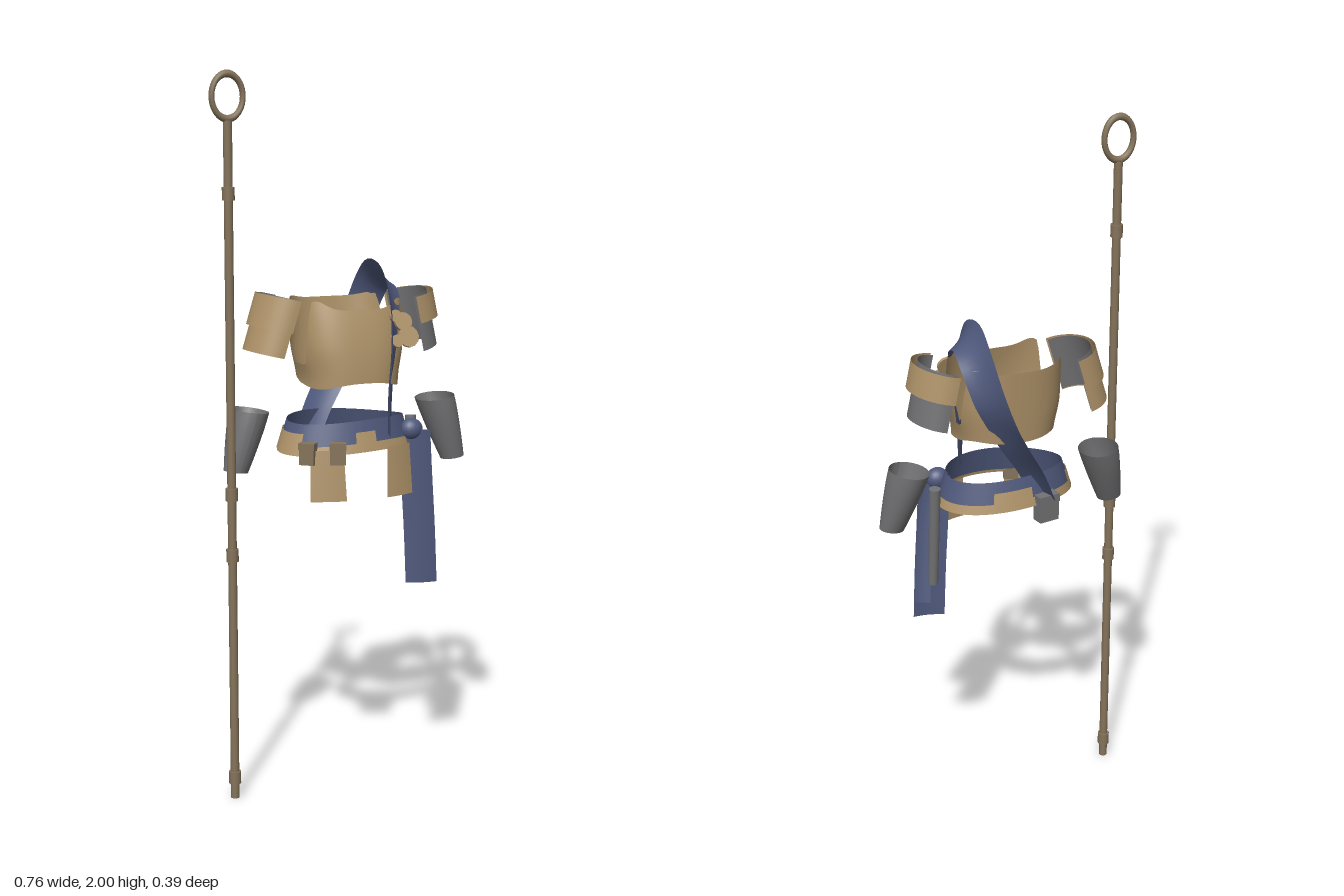
import * as THREE from 'three';

const mat = (name, color) => Object.assign(new THREE.MeshStandardMaterial({ color, side: THREE.DoubleSide }), { name });
const V = (x, y, z) => new THREE.Vector3(x, y, z);
const mix = THREE.MathUtils.lerp;
const smooth = THREE.MathUtils.smoothstep;

export function createModel() {
  const tan = mat('tanArmour', 0xb0946a);
  const blue = mat('blueCloth', 0x4f597c);
  const grey = mat('greyMetal', 0x727274);
  const brown = mat('staffBrown', 0x84735a);
  const model = new THREE.Group();

  const add = (name, geometry, material, x = 0, y = 0, z = 0) => {
    const mesh = new THREE.Mesh(geometry, material);
    mesh.name = name;
    mesh.position.set(x, y, z);
    model.add(mesh);
    return mesh;
  };

  // Curved sheet from a rule p(u, v), u and v in 0..1
  const sheet = (name, material, nu, nv, p) => {
    const g = new THREE.PlaneGeometry(1, 1, nu, nv);
    const pos = g.attributes.position;
    for (let i = 0; i < pos.count; i++) {
      const q = p(pos.getX(i) + 0.5, 0.5 - pos.getY(i));
      pos.setXYZ(i, q.x, q.y, q.z);
    }
    g.computeVertexNormals();
    return add(name, g, material);
  };

  // Ribbon along a curve; side(point, tangent) gives its width direction
  const ribbon = (name, points, width, side, bulge = 0, material = blue) => {
    const curve = new THREE.CatmullRomCurve3(points);
    return sheet(name, material, 6, 40, (u, v) => {
      const p = curve.getPoint(v), t = curve.getTangent(v);
      const s = side(p, t).normalize();
      const n = new THREE.Vector3().crossVectors(s, t).normalize();
      const k = u * 2 - 1;
      return p.addScaledVector(s, k * width / 2).addScaledVector(n, bulge * k * k);
    });
  };

  // Staff with ring head and collars
  const sx = -0.333, sz = 0.025;
  add('staffShaft', new THREE.CylinderGeometry(0.012, 0.012, 1.87, 16), brown, sx, 0.935, sz);
  const ring = add('staffRing', new THREE.TorusGeometry(0.058, 0.01, 10, 40), brown, sx, 1.932, sz);
  ring.scale.set(0.75, 1, 1);
  for (const y of [0.06, 0.7, 0.87, 1.68])
    add('staffCollar', new THREE.CylinderGeometry(0.017, 0.017, 0.035, 16), brown, sx, y, sz);

  // Chest armour: a boxy tube with low arm openings
  sheet('chestArmour', tan, 72, 10, (u, v) => {
    const a = u * Math.PI * 2, s = Math.sin(a), c = Math.cos(a);
    const panel = smooth(Math.abs(c), 0.22, 0.6);
    const neck = c > 0 ? 0.025 * smooth(c, 0.7, 1) : 0.01 * smooth(-c, 0.7, 1);
    const top = 1.215 + 0.175 * panel - neck;
    const low = 1.16 + (c < 0 ? 0.02 * -c : 0) + 0.008 * Math.cos(3 * a);
    const y = mix(top, low, v);
    const h = (y - 1.16) / 0.23;
    const rx = mix(0.135, 0.153, smooth(h, 0, 0.5));
    const rz = c > 0 ? mix(0.132, 0.095, h * h) : mix(0.122, 0.145, h);
    return V(0.02 + rx * Math.sign(s) * Math.abs(s) ** 0.75, y, rz * Math.sign(c) * Math.abs(c) ** 0.8);
  });

  // Sash over the left shoulder
  ribbon('shoulderSash', [
    V(0.09, 1.03, 0.122), V(0.082, 1.14, 0.14), V(0.09, 1.26, 0.143), V(0.105, 1.37, 0.11),
    V(0.125, 1.435, 0.04), V(0.13, 1.45, -0.03), V(0.135, 1.41, -0.1), V(0.115, 1.31, -0.15),
    V(0.055, 1.19, -0.145), V(-0.015, 1.08, -0.125), V(-0.055, 1.0, -0.11)
  ], 0.1, (p, t) => new THREE.Vector3().crossVectors(t, V(0.25, Math.max(p.y - 1.22, 0) * 1.0, p.z)), 0.008);

  // Fastening on the left of the chest
  const clasp = [[0.135, 1.33, 0.026], [0.145, 1.29, 0.03], [0.11, 1.28, 0.018], [0.115, 1.345, 0.018]];
  for (const [x, y, r] of clasp) {
    const m = add('chestClasp', new THREE.CylinderGeometry(r, r, 0.008, 12), tan, x, y, 0.137 - (y - 1.28) * 0.35);
    m.rotation.x = 1.25;
  }

  // Waist sash and the belt showing through it
  const band = (name, material, a0, a1, y0, y1, grow) =>
    sheet(name, material, Math.ceil((a1 - a0) * 10), 4, (u, v) => {
      const a = mix(a0, a1, u), y = mix(y1, y0, v), f = (1.06 - y) / 0.08;
      return V(0.015 + (mix(0.17, 0.195, f) + grow) * Math.sin(a),
        y + 0.006 * Math.sin(2 * a + 0.6), (mix(0.112, 0.13, f) + grow) * Math.cos(a));
    });
  band('waistSash', blue, 0, Math.PI * 2, 0.985, 1.06, 0);
  band('belt', tan, 0, Math.PI * 2, 0.975, 1.0, 0.002);
  band('beltRightPart', tan, -2.1, -1.0, 0.98, 1.035, 0.004);
  band('beltFrontPart', tan, -0.12, 0.2, 0.985, 1.03, 0.005);
  band('beltBackPart', tan, 2.7, 3.3, 0.985, 1.03, 0.004);

  // Knot and hanging tails on the left hip
  const knot = add('sashKnot', new THREE.SphereGeometry(0.033, 20, 14), blue, 0.187, 1.02, 0.07);
  knot.scale.set(1, 0.95, 0.85);
  ribbon('frontSashTail', [V(0.19, 1.02, 0.088), V(0.196, 0.9, 0.09), V(0.205, 0.74, 0.093), V(0.211, 0.58, 0.096)],
    0.09, () => V(1, 0, 0.25), 0.006);
  ribbon('rearSashTail', [V(0.205, 1.01, 0.06), V(0.228, 0.9, 0.052), V(0.245, 0.78, 0.04), V(0.258, 0.665, 0.025)],
    0.045, () => V(1, 0.1, 0.35), 0.004);

  // Hip plates
  for (const [x0, x1] of [[-0.14, -0.045], [0.077, 0.168]])
    sheet('hipPlate', tan, 8, 4, (u, v) => {
      const x = mix(x0, x1, u), c = (x0 + x1) / 2;
      return V(c + (x - c) * mix(0.9, 1, v), mix(0.99, 0.85, v), 0.135 * Math.sqrt(1 - ((x - 0.015) / 0.23) ** 2) + 0.006 + 0.012 * v);
    });

  // Belt pouches
  const pouch = (name, x, y, z, w, h, d, turn, material) => {
    add(name, new THREE.BoxGeometry(w, h, d), material, x, y, z).rotation.y = turn;
    add(name + 'Flap', new THREE.BoxGeometry(w * 1.08, h * 0.3, d * 1.1), material, x, y + h * 0.38, z).rotation.y = turn;
  };
  pouch('rightPouch', -0.14, 0.98, 0.1, 0.042, 0.058, 0.028, -0.75, brown);
  pouch('frontPouch', -0.065, 0.98, 0.132, 0.042, 0.058, 0.028, -0.4, brown);
  pouch('backPouch', -0.055, 0.97, -0.128, 0.06, 0.075, 0.036, 0.15, grey);

  // Baton on the left hip
  const from = V(0.237, 1.04, -0.036), to = V(0.237, 0.74, -0.01);
  const baton = add('hipBaton', new THREE.CylinderGeometry(0.016, 0.014, from.distanceTo(to), 14), grey);
  baton.position.copy(from).lerp(to, 0.5);
  baton.quaternion.setFromUnitVectors(V(0, 1, 0), from.clone().sub(to).normalize());

  // Shoulder guards: half tubes leaning outward
  const guard = (name, material, side, top, low, t0, t1, rx, rz) =>
    sheet(name, material, 24, 4, (u, v) => {
      const t = mix(t0, t1, v), a = (u - 0.5) * Math.PI, c = Math.cos(a);
      const p = top.clone().lerp(low, t);
      return p.add(V(side * rx * c, 0.018 * c, rz * Math.sin(a)));
    });
  const rt = V(-0.135, 1.39, -0.05), rl = V(-0.183, 1.235, -0.05);
  guard('rightShoulderLiner', grey, -1, rt, rl, 0, 0.97, 0.075, 0.088);
  guard('rightShoulderLower', tan, -1, rt, rl, 0.45, 1, 0.079, 0.092);
  guard('rightShoulderUpper', tan, -1, rt, rl, 0, 0.56, 0.088, 0.102);
  const lt = V(0.198, 1.39, -0.033), ll = V(0.232, 1.235, -0.033);
  guard('leftShoulderLower', grey, 1, lt, ll, 0, 1, 0.072, 0.088);
  guard('leftShoulderUpper', tan, 1, lt, ll, 0, 0.48, 0.09, 0.105);

  // Forearm guards: open oval cones
  const cuff = (name, top, low) =>
    sheet(name, grey, 28, 6, (u, v) => {
      const a = u * Math.PI * 2, k = v ** 1.35, p = top.clone().lerp(low, v);
      const tilt = (low.x - top.x) * 0.35;
      const x = mix(0.054, 0.034, k) * Math.sin(a);
      return p.add(V(x, x * tilt * 8, mix(0.066, 0.032, k) * Math.cos(a)));
    });
  cuff('rightForearmGuard', V(-0.25, 1.085, -0.055), V(-0.298, 0.92, -0.035));
  cuff('leftForearmGuard', V(0.3, 1.095, -0.01), V(0.347, 0.92, 0.013));

  return model;
}
